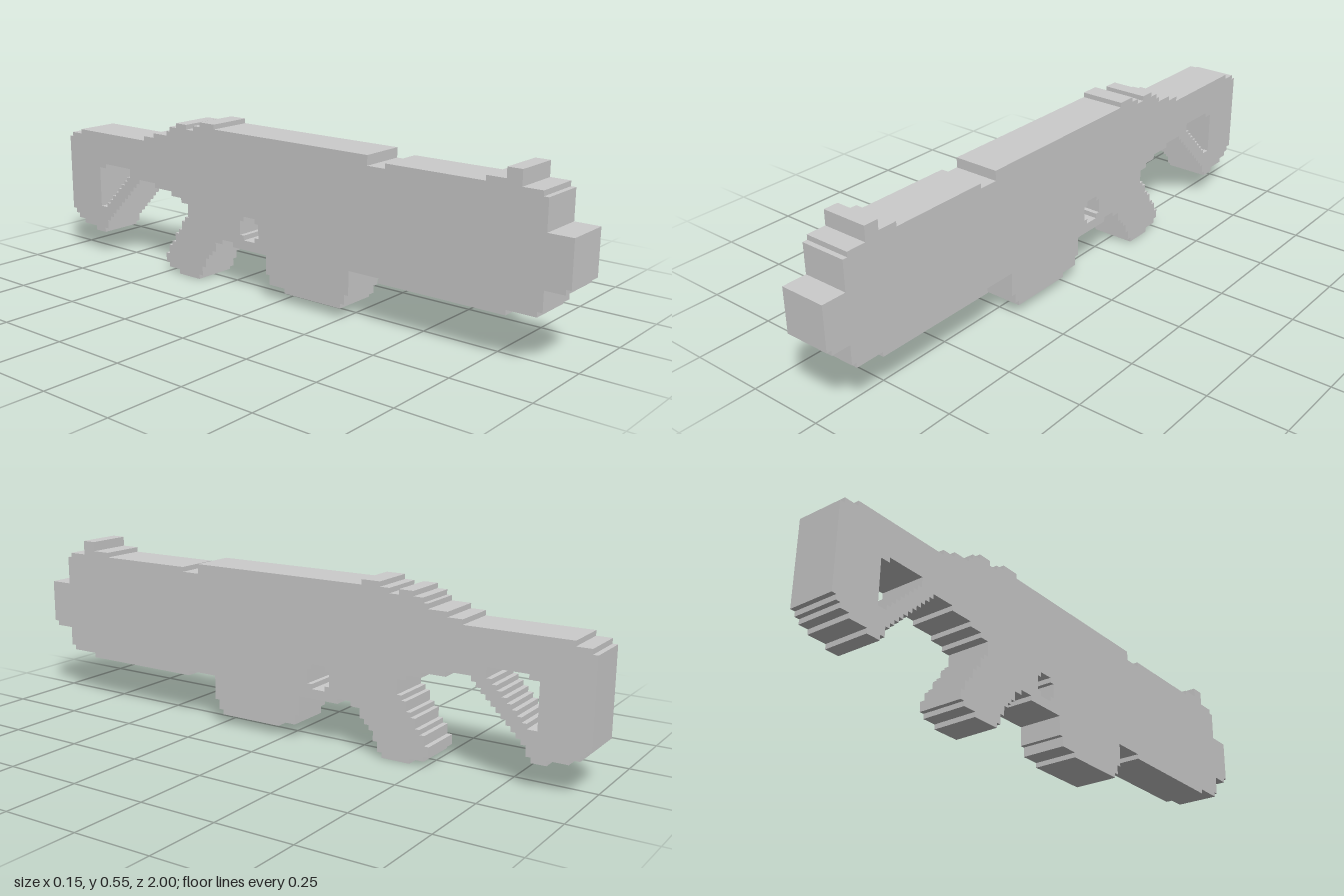
import * as THREE from 'three';

const CELL = 2 / 127; // the silhouette is stepped on a grid 127 cells long
const DEPTH = 0.149;

// Stepped profile: each [column, row] holds its row until the next column.
function stairs(steps, end) {
  const points = [];
  steps.forEach(([c, r], i) => {
    const next = i + 1 < steps.length ? steps[i + 1][0] : end;
    points.push([c, r], [next, r]);
  });
  return points.map(([c, r]) => new THREE.Vector2((c - 63.5) * CELL, r * CELL));
}

// Closed outline between an upper and a lower stepped profile.
const outline = ({ top, bottom, end }) => [...stairs(bottom, end), ...stairs(top, end).reverse()];

// One-cell steps descending diagonally.
const diagonal = (c, r, n) => Array.from({ length: n }, (_, i) => [c + i, r - i]);

function part(name, area, hole) {
  const shape = new THREE.Shape(outline(area));
  if (hole) shape.holes.push(new THREE.Path(outline(hole)));
  const geometry = new THREE.ExtrudeGeometry(shape, { depth: DEPTH, bevelEnabled: false });
  geometry.translate(0, 0, -DEPTH / 2);
  geometry.rotateY(Math.PI / 2); // columns run from +z to -z
  const material = new THREE.MeshStandardMaterial({ color: 0xcccccc, flatShading: true });
  const mesh = new THREE.Mesh(geometry, material);
  mesh.name = name;
  return mesh;
}

export function createModel() {
  const model = new THREE.Group();
  model.name = 'blockyBlaster';

  // Long body with muzzle, sights and the trigger opening
  model.add(part('body', {
    top: [[0, 25], [5, 31], [6, 32], [10, 35], [13, 33], [17, 32], [38, 31], [42, 33],
      [81, 34], [85, 33], [87, 32], [89, 33], [92, 32], [94, 31], [95, 30], [99, 29], [102, 28]],
    bottom: [[0, 16], [1, 15], [5, 11], [6, 10], [12, 9], [39, 10], [67, 9], [76, 10],
      [79, 13], [89, 16], [91, 17], [94, 18], [99, 19]],
    end: 103,
  }, {
    top: [[69, 15], [70, 16], [73, 15]],
    bottom: [[69, 12], [70, 11], [73, 12]],
    end: 74,
  }));

  // Magazine under the middle
  model.add(part('magazine', {
    top: [[46, 10]],
    bottom: [[46, 5], [47, 3], [48, 2], [62, 3], [66, 5]],
    end: 67,
  }));

  // Slanted pistol grip
  model.add(part('grip', {
    top: [[79, 13], [90, 12], [91, 10], [92, 9], [93, 7], [94, 6], [95, 4]],
    bottom: [[79, 9], [81, 7], [82, 6], [83, 5], [84, 3], [85, 1], [86, 0], [92, 1], [95, 2]],
    end: 96,
  }));

  // Shoulder stock with its triangular opening
  model.add(part('stock', {
    top: [[103, 28], [123, 27], [126, 26]],
    bottom: [...diagonal(103, 19, 12), [115, 6], [116, 5], [119, 6], [123, 7], [125, 8], [126, 9]],
    end: 127,
  }, {
    top: [[107, 21], [115, 20]],
    bottom: [...diagonal(107, 19, 9), [116, 11]].filter(([c, r], i, a) => i === 0 || r !== a[i - 1][1]),
    end: 117,
  }));

  return model;
}
